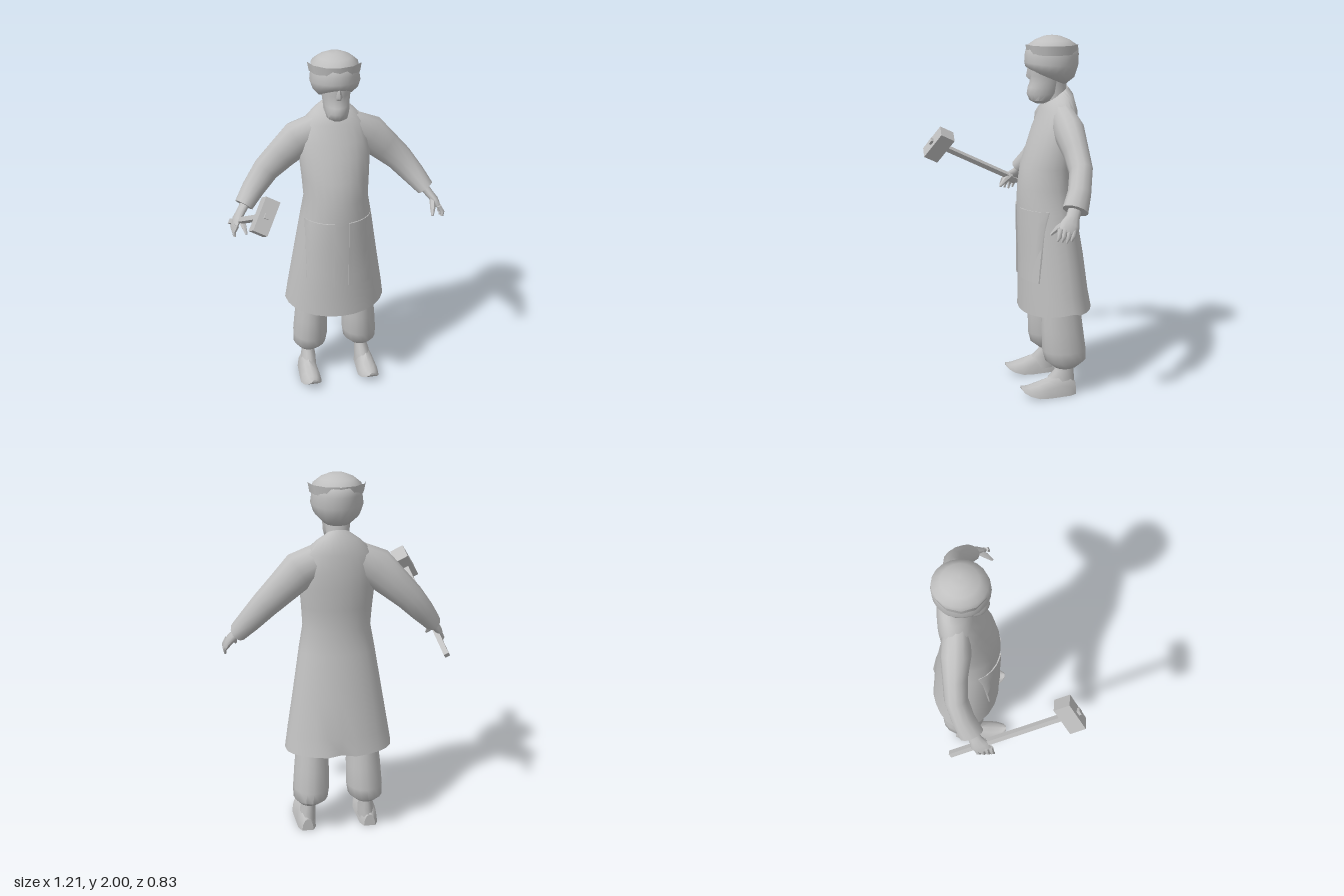
import * as THREE from 'three';
import { toCreasedNormals } from 'three/addons/utils/BufferGeometryUtils.js';

const grey = new THREE.MeshStandardMaterial({ color: 0xc0c0c0 });
grey.name = 'plain grey';

// Skin a list of rings (each a list of Vector3), closing both ends, facing outwards
function loft(name, rings, crease = 0.8) {
  const n = rings[0].length, pts = rings.flat(), faces = [];
  for (let i = 0; i < rings.length - 1; i++) {
    for (let j = 0; j < n; j++) {
      const a = i * n + j, b = i * n + (j + 1) % n;
      faces.push([a, b, b + n], [a, b + n, a + n]);
    }
  }
  const cap = (ring, start, flip) => {
    const c = pts.length;
    pts.push(ring.reduce((s, p) => s.add(p), new THREE.Vector3()).divideScalar(n));
    for (let j = 0; j < n; j++) {
      const a = start + j, b = start + (j + 1) % n;
      faces.push(flip ? [c, b, a] : [c, a, b]);
    }
  };
  const last = (rings.length - 1) * n;
  cap(rings[0], 0, true);
  cap(rings[rings.length - 1], last, false);
  let volume = 0;
  for (const [a, b, c] of faces) volume += pts[a].dot(pts[b].clone().cross(pts[c]));
  if (volume < 0) faces.forEach((f) => f.reverse());
  const geo = new THREE.BufferGeometry().setFromPoints(pts);
  geo.setIndex(faces.flat());
  const mesh = new THREE.Mesh(toCreasedNormals(geo, crease), grey);
  mesh.name = name;
  return mesh;
}

// Level oval ring: height, half width, front z, back z, tilt (raises the front),
// z of the widest place; centre x
function oval([y, rx, zf, zb, tilt = 0, mid = (zf + zb) / 2], cx = 0, n = 24) {
  return Array.from({ length: n }, (_, i) => {
    const a = (i / n) * Math.PI * 2, c = Math.cos(a);
    return new THREE.Vector3(cx + rx * Math.sin(a), y + tilt * c,
      mid + (c > 0 ? zf - mid : mid - zb) * c);
  });
}

// Tapered limb through points [x, y, z, radius, radius along z]
function limb(name, stations, side, n = 12) {
  const p = stations.map(([x, y, z]) => new THREE.Vector3(x * side, y, z));
  const rings = stations.map(([, , , r, rz = r], i) => {
    const t = p[Math.min(i + 1, p.length - 1)].clone().sub(p[Math.max(i - 1, 0)]).normalize();
    const u = new THREE.Vector3(0, 0, 1).addScaledVector(t, -t.z).normalize();
    const v = t.clone().cross(u);
    return Array.from({ length: n }, (_, j) => {
      const a = (j / n) * Math.PI * 2;
      return p[i].clone().addScaledVector(u, rz * Math.cos(a)).addScaledVector(v, r * Math.sin(a));
    });
  });
  return loft(name, rings, 1.0);
}

const robeRows = [
  [1.695, 0.06, -0.185, -0.288, -0.03, -0.235], [1.665, 0.11, -0.165, -0.315, -0.02, -0.24],
  [1.6, 0.18, -0.145, -0.332, 0, -0.24], [1.5, 0.198, -0.1, -0.335, 0, -0.225],
  [1.42, 0.2, -0.072, -0.335, 0, -0.215], [1.3, 0.19, -0.03, -0.322, 0, -0.2],
  [1.18, 0.182, -0.012, -0.315, 0, -0.19], [1.05, 0.205, -0.01, -0.33, 0, -0.2],
  [0.8, 0.245, -0.018, -0.372, 0, -0.225], [0.6, 0.278, -0.02, -0.398, 0, -0.24],
  [0.5, 0.292, -0.02, -0.418, 0, -0.25],
];

// Front surface of the robe, used to lay the pockets on it
function robeFront(x, y) {
  const i = robeRows.findIndex((r) => r[0] <= y);
  const a = robeRows[i - 1], b = robeRows[i], t = (a[0] - y) / (a[0] - b[0]);
  const [rx, zf, mid] = [1, 2, 5].map((k) => a[k] + (b[k] - a[k]) * t);
  return mid + (zf - mid) * Math.sqrt(1 - (x / rx) ** 2);
}

function makeRobe() {
  const rings = robeRows.map((r) => oval(r));
  // hem dips in front and is wavy behind
  for (const p of rings[rings.length - 1]) {
    const front = Math.max(0, (p.z + 0.25) / 0.23);
    p.y = 0.51 - 0.04 * front - (p.z < -0.26 ? 0.01 : 0);
    if (Math.abs(p.x) < 0.05 && p.z < -0.26) p.z += 0.03;
  }
  return loft('robe', rings);
}

function makePocket(side) {
  const geo = new THREE.BoxGeometry(0.15, 0.4, 0.009, 6, 6, 1).translate(0.115 * side, 0.87, 0);
  const pos = geo.attributes.position;
  for (let i = 0; i < pos.count; i++) {
    pos.setZ(i, robeFront(pos.getX(i), pos.getY(i)) + pos.getZ(i) + 0.002);
  }
  const mesh = new THREE.Mesh(toCreasedNormals(geo, 0.8), grey);
  mesh.name = 'pocket';
  return mesh;
}

function makeHead() {
  const head = new THREE.Group();
  head.name = 'head';
  head.add(loft('neck', [[1.62, 0.065, -0.16, -0.29], [1.7, 0.06, -0.16, -0.285],
    [1.8, 0.075, -0.14, -0.27]].map((r) => oval(r))));
  head.add(loft('faceAndBeard', [
    [1.637, 0.026, -0.11, -0.16], [1.655, 0.056, -0.075, -0.2], [1.69, 0.066, -0.06, -0.24],
    [1.725, 0.07, -0.066, -0.255], [1.75, 0.073, -0.077, -0.26], [1.79, 0.078, -0.073, -0.27],
    [1.84, 0.085, -0.073, -0.28]].map((r) => oval(r, 0, 16))));
  head.add(limb('nose', [[0, 1.84, -0.085, 0.012, 0.02], [0, 1.785, -0.085, 0.024, 0.03],
    [0, 1.768, -0.085, 0.02, 0.014]], 1, 4));
  head.add(loft('turban', [
    [1.775, 0.09, -0.085, -0.27, 0.04], [1.805, 0.122, -0.055, -0.322, 0.03],
    [1.85, 0.137, -0.05, -0.342, 0.01], [1.9, 0.13, -0.052, -0.345], [1.945, 0.126, -0.062, -0.34],
    [1.975, 0.09, -0.105, -0.295], [1.995, 0.045, -0.155, -0.245], [2.0, 0.01, -0.19, -0.21],
  ].map((r) => oval(r, 0, 20)), 1.2));
  // open band round the turban
  const band = new THREE.Mesh(
    new THREE.CylinderGeometry(0.15, 0.141, 0.05, 12, 1, true), grey);
  band.name = 'turbanBand';
  band.scale.z = 0.97;
  band.position.set(0, 1.93, -0.197);
  head.add(band);
  return head;
}

function makeArm(side) {
  const arm = new THREE.Group();
  arm.name = side > 0 ? 'leftArm' : 'rightArm';
  arm.add(limb('sleeve', [
    [0.08, 1.565, -0.235, 0.09, 0.07], [0.2, 1.505, -0.24, 0.105, 0.08],
    [0.29, 1.42, -0.248, 0.09, 0.066], [0.38, 1.335, -0.248, 0.077, 0.062],
    [0.46, 1.24, -0.215, 0.064, 0.062], [0.52, 1.165, -0.175, 0.05, 0.068]], side));
  arm.add(limb('palm', [
    [0.5, 1.19, -0.185, 0.027, 0.035], [0.54, 1.135, -0.155, 0.023, 0.036],
    [0.565, 1.105, -0.135, 0.022, 0.05], [0.582, 1.07, -0.113, 0.014, 0.046]], side));
  // four curved fingers and a thumb
  for (let i = 0; i < 4; i++) {
    const z = -0.152 + i * 0.025;
    arm.add(limb('finger', [[0.575, 1.09, z, 0.014], [0.594, 1.055, z + 0.008, 0.012],
      [0.591, 1.02 + 0.006 * Math.abs(i - 1), z + 0.018, 0.006]], side, 6));
  }
  arm.add(limb('thumb', [[0.55, 1.12, -0.125, 0.018], [0.538, 1.085, -0.075, 0.016],
    [0.528, 1.05, -0.042, 0.007]], side, 6));
  return arm;
}

function makeLeg(side) {
  const leg = new THREE.Group();
  leg.name = side > 0 ? 'leftLeg' : 'rightLeg';
  const rows = [[0.6, 0.08, -0.11, -0.32], [0.5, 0.086, -0.108, -0.335],
    [0.38, 0.096, -0.11, -0.35], [0.26, 0.101, -0.114, -0.366], [0.2, 0.096, -0.13, -0.365],
    [0.16, 0.06, -0.18, -0.31]];
  leg.add(loft('trouserLeg', rows.map((r, i) => oval(r, side * (0.135 + 0.0045 * i), 16)), 1.0));
  leg.add(loft('ankle', [[0.2, 0.034, -0.19, -0.292], [0.14, 0.036, -0.18, -0.295],
    [0.1, 0.043, -0.14, -0.296], [0.03, 0.05, -0.12, -0.297],
  ].map((r) => oval(r, side * (0.158 + 0.07 * (0.2 - r[0])), 12)), 1.2));
  // shoe sections from heel to curled toe: z, half width, sole, top
  const shoe = [[-0.298, 0.032, 0, 0.07], [-0.26, 0.05, 0, 0.11], [-0.2, 0.054, 0, 0.125],
    [-0.14, 0.058, 0, 0.104], [-0.08, 0.062, 0.005, 0.082], [-0.03, 0.052, 0.02, 0.068],
    [0.0, 0.036, 0.036, 0.066], [0.018, 0.014, 0.056, 0.072]];
  leg.add(loft('shoe', shoe.map(([z, w, yb, yt]) => Array.from({ length: 12 }, (_, j) => {
    const a = (j / 12) * Math.PI * 2;
    return new THREE.Vector3(side * (0.175 + w * Math.cos(a)),
      yb + (yt - yb) * Math.max(0, Math.sin(a)), z);
  }))));
  return leg;
}

function makeHammer() {
  const hammer = new THREE.Group();
  hammer.name = 'hammer';
  // local y runs up the handle, local x along the head
  const y = new THREE.Vector3(0.11, 0.34, 0.65).normalize();
  const x = new THREE.Vector3(0.1, 0.17, -0.08);
  x.addScaledVector(y, -x.dot(y)).normalize();
  hammer.quaternion.setFromRotationMatrix(new THREE.Matrix4().makeBasis(x, y, x.clone().cross(y)));
  hammer.position.set(-0.478, 1.335, 0.334);
  const box = (name, w, h, d, py) => {
    const mesh = new THREE.Mesh(new THREE.BoxGeometry(w, h, d), grey);
    mesh.name = name;
    mesh.position.y = py;
    hammer.add(mesh);
  };
  box('hammerHead', 0.185, 0.09, 0.08, 0);
  box('hammerHandle', 0.028, 0.776, 0.028, -0.328);
  return hammer;
}

export function createModel() {
  const model = new THREE.Group();
  model.name = 'robedCraftsman';
  model.add(makeRobe(), makeHead(), makeHammer());
  for (const side of [1, -1]) model.add(makeArm(side), makeLeg(side), makePocket(side));
  return model;
}
